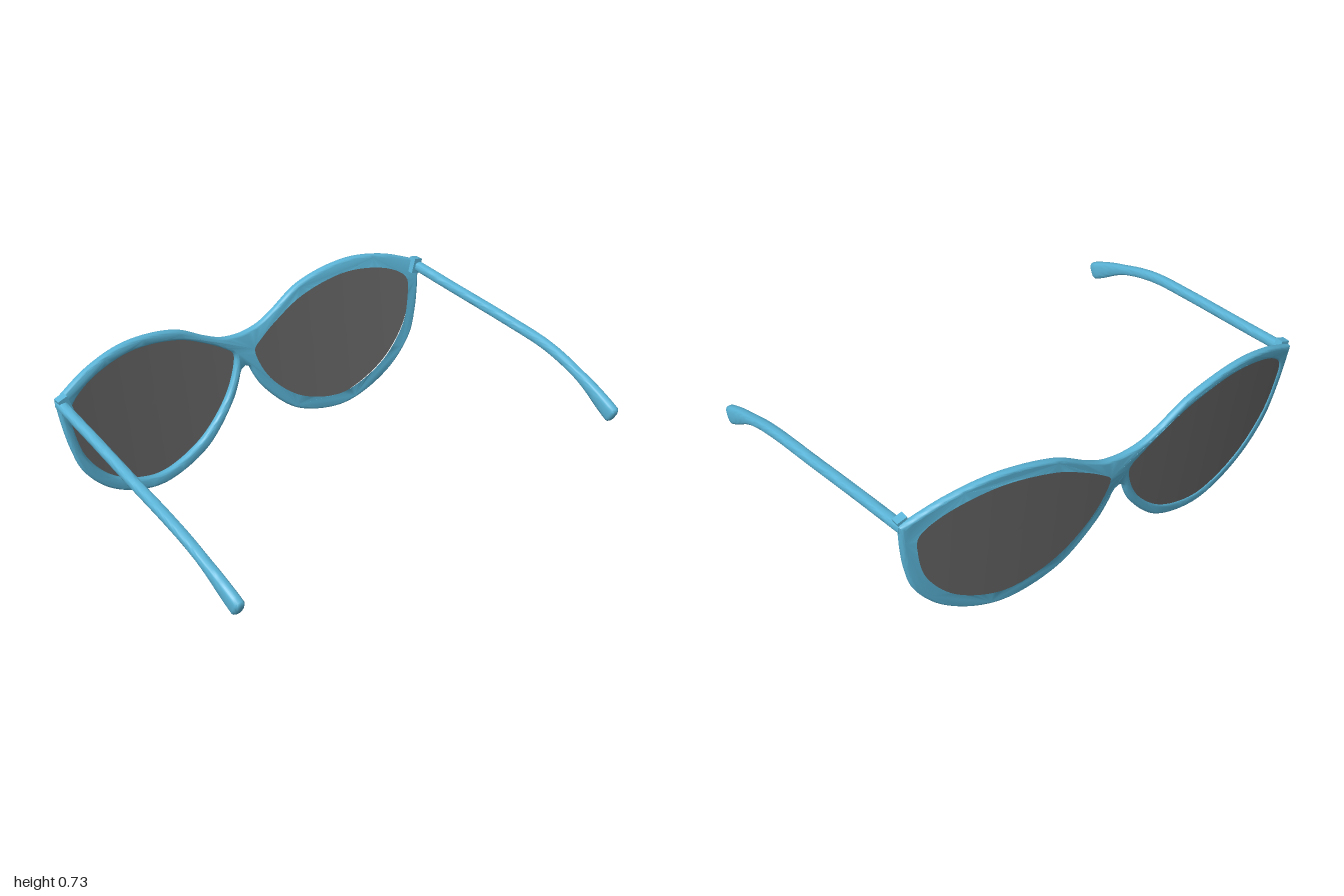
import * as THREE from 'three';
import { toCreasedNormals } from 'three/addons/utils/BufferGeometryUtils.js';

const frameMat = new THREE.MeshStandardMaterial({ color: 0x5bb5d8 });
const lensMat = new THREE.MeshStandardMaterial({ color: 0x666666, side: THREE.DoubleSide });

// Wrap and lean of the frame front: depth at a given x, y
const frontZ = (x, y) => -0.655 + 0.095 * x * x - 0.1 * (y - 0.45);

function bend(geo) {
  const p = geo.attributes.position;
  for (let i = 0; i < p.count; i++) p.setZ(i, p.getZ(i) + frontZ(p.getX(i), p.getY(i)));
  return geo;
}

function spline(pts, n, closed = false) {
  const c = new THREE.CatmullRomCurve3(pts.map(([x, y]) => new THREE.Vector3(x, y, 0)), closed);
  return c.getSpacedPoints(n).map(p => new THREE.Vector2(p.x, p.y));
}
const mirror = pts => pts.map(p => new THREE.Vector2(-p.x, p.y));

// Half outline of the frame: brow from bridge to corner, then the lower rim back to the bridge
const brow = spline([[0, 0.54], [0.05, 0.544], [0.105, 0.556], [0.18, 0.592], [0.33, 0.675], [0.58, 0.718],
  [0.78, 0.688], [0.962, 0.615]], 40);
const lowerRim = spline([[0.962, 0.615], [0.948, 0.48], [0.928, 0.37], [0.892, 0.26], [0.785, 0.13], [0.62, 0.037],
  [0.47, 0.013], [0.25, 0.08], [0.09, 0.24], [0.043, 0.325], [0.022, 0.375], [0, 0.386]], 70);
const lensOutline = spline([[0.045, 0.455], [0.09, 0.497], [0.195, 0.565], [0.335, 0.632], [0.585, 0.673], [0.815, 0.622],
  [0.903, 0.55], [0.902, 0.45], [0.865, 0.315], [0.75, 0.167], [0.59, 0.08], [0.465, 0.063],
  [0.27, 0.127], [0.12, 0.264], [0.055, 0.388]], 96, true).slice(0, -1);

function frameGeometry() {
  const half = [...brow, ...lowerRim.slice(1)];
  const shape = new THREE.Shape([...half, ...mirror(half).reverse().slice(1, -1)]);
  shape.holes.push(new THREE.Path(lensOutline), new THREE.Path(mirror(lensOutline)));
  const geo = new THREE.ExtrudeGeometry(shape, {
    depth: 0.008, bevelThickness: 0.013, bevelSize: 0.012, bevelOffset: -0.012, bevelSegments: 4,
  });
  geo.translate(0, 0, -0.004);
  return toCreasedNormals(bend(geo), 0.7);
}

// Curved lens sheet made of concentric rings, tucked into the rim
function lensGeometry(side) {
  const rings = 10, n = lensOutline.length, pos = [], idx = [];
  for (let r = 0; r <= rings; r++) {
    const s = 1.035 * r / rings;
    for (const p of lensOutline) pos.push(side * (0.5 + (p.x - 0.5) * s), 0.38 + (p.y - 0.38) * s, -0.012);
  }
  for (let r = 0; r < rings; r++) for (let j = 0; j < n; j++) {
    const a = r * n + j, b = r * n + (j + 1) % n;
    if (side > 0) idx.push(a, b, a + n, b, b + n, a + n);
    else idx.push(a, a + n, b, b, a + n, b + n);
  }
  const geo = new THREE.BufferGeometry();
  geo.setAttribute('position', new THREE.Float32BufferAttribute(pos, 3));
  geo.setIndex(idx);
  bend(geo).computeVertexNormals();
  return geo;
}

// Temple arm: rounded-square sections swept back along a curve, swelling at the ear tip
function templeGeometry(side) {
  const path = new THREE.CatmullRomCurve3([[0.943, 0.6, -0.585], [0.955, 0.57, -0.3], [0.97, 0.538, 0],
    [0.978, 0.508, 0.24], [0.977, 0.472, 0.38], [0.975, 0.425, 0.5], [0.972, 0.378, 0.59], [0.97, 0.347, 0.648],
  ].map(p => new THREE.Vector3(...p)));
  const steps = 48, n = 20, pos = [], idx = [];
  const ring = (c, t, hw, hh) => {
    const up = new THREE.Vector3(0, t.z, -t.y).normalize();
    for (let j = 0; j < n; j++) {
      const a = j / n * Math.PI * 2, ca = Math.cos(a), sa = Math.sin(a);
      const u = Math.sign(ca) * Math.abs(ca) ** 0.65 * hw, v = Math.sign(sa) * Math.abs(sa) ** 0.65 * hh;
      pos.push(side * (c.x + u), c.y + up.y * v, c.z + up.z * v);
    }
  };
  for (let i = 0; i <= steps; i++) {
    const c = path.getPointAt(i / steps), t = path.getTangentAt(i / steps);
    const swell = THREE.MathUtils.smoothstep(c.z, 0.42, 0.64);
    if (i === 0) ring(c, t, 0, 0);
    ring(c, t, 0.021 + 0.002 * swell, 0.021 + 0.019 * swell);
    // Rounded tip
    if (i === steps) for (const [d, s] of [[0.007, 0.9], [0.013, 0.65], [0.015, 0]]) {
      ring(c.clone().addScaledVector(t, d), t, 0.023 * s, 0.04 * s);
    }
  }
  for (let i = 0; i < pos.length / 3 / n - 1; i++) for (let j = 0; j < n; j++) {
    const a = i * n + j, b = i * n + (j + 1) % n;
    if (side > 0) idx.push(a, b, a + n, b, b + n, a + n);
    else idx.push(a, a + n, b, b, a + n, b + n);
  }
  const geo = new THREE.BufferGeometry();
  geo.setAttribute('position', new THREE.Float32BufferAttribute(pos, 3));
  geo.setIndex(idx);
  return toCreasedNormals(geo, 0.9);
}

export function createModel() {
  const model = new THREE.Group();
  const glasses = new THREE.Group();
  glasses.name = 'sunglasses';
  model.add(glasses);
  const add = (name, geo, mat) => {
    const mesh = new THREE.Mesh(geo, mat);
    mesh.name = name;
    glasses.add(mesh);
    return mesh;
  };

  add('frame', frameGeometry(), frameMat);
  for (const [side, label] of [[1, 'left'], [-1, 'right']]) {
    add(label + 'Lens', lensGeometry(side), lensMat);
    add(label + 'Temple', templeGeometry(side), frameMat);
    // Hinge block behind the upper corner
    const hinge = add(label + 'Hinge', new THREE.BoxGeometry(0.044, 0.07, 0.035), frameMat);
    hinge.position.set(side * 0.934, 0.602, -0.566);
    hinge.rotation.z = -side * 0.3;
  }

  // The glasses rest slightly tilted and turned
  glasses.rotation.set(0, -0.008, 0.026);
  glasses.position.x = 0.0096;
  return model;
}
